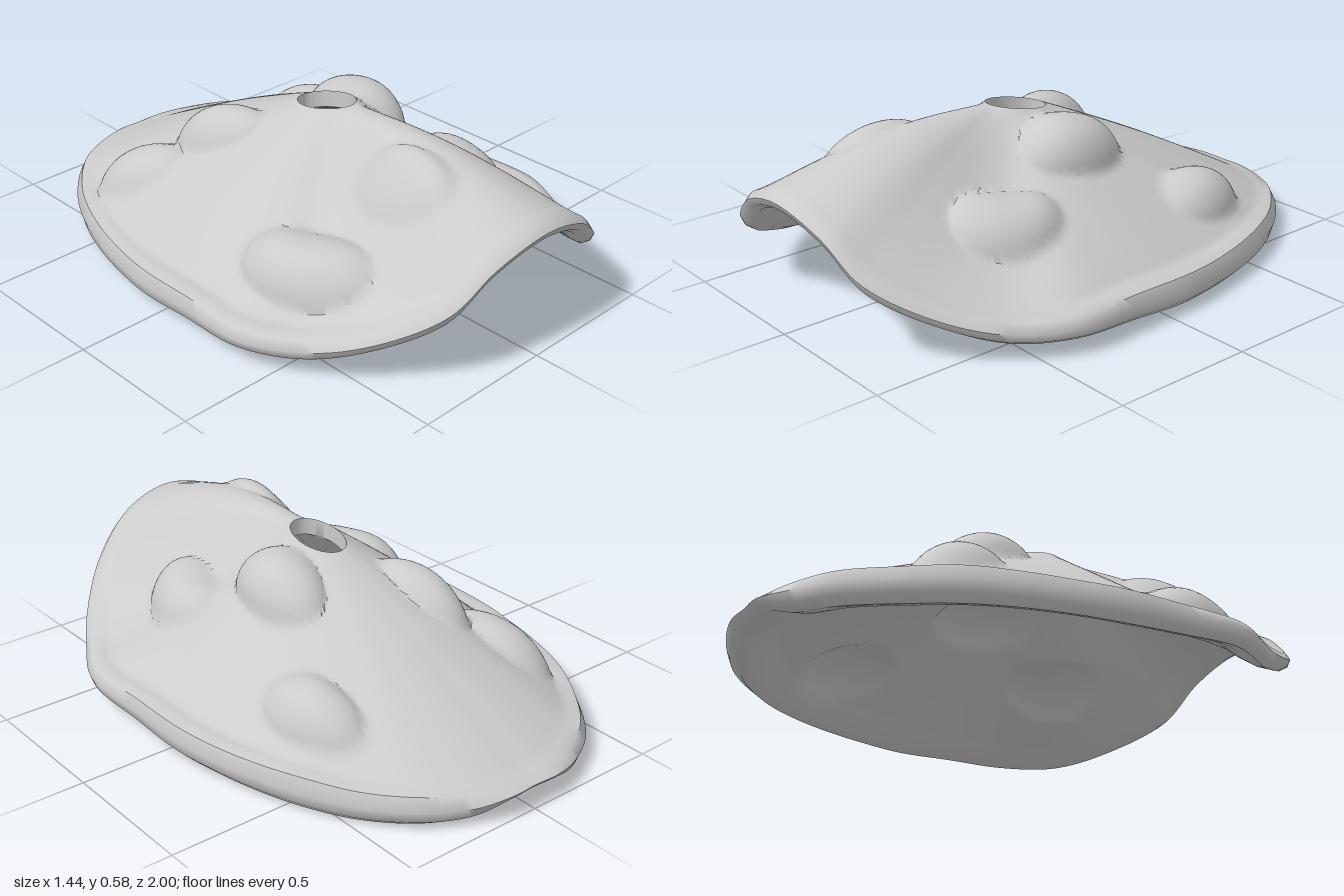
import * as THREE from 'three';
import { toCreasedNormals } from 'three/addons/utils/BufferGeometryUtils.js';

const material = new THREE.MeshStandardMaterial({ color: 0xcccccc, side: THREE.DoubleSide });

// Half of the rim, back to front: x, z, height of top edge, height of underside
const RIM = [
  [0, -1, 0.11, 0.06], [0.1, -1, 0.11, 0.055], [0.22, -0.96, 0.115, 0.015], [0.355, -0.88, 0.12, 0.005],
  [0.48, -0.74, 0.12, 0], [0.575, -0.58, 0.13, 0.005], [0.64, -0.41, 0.13, 0.01],
  [0.685, -0.23, 0.13, 0.015], [0.71, -0.06, 0.135, 0.02], [0.715, 0.15, 0.14, 0.035],
  [0.715, 0.4, 0.14, 0.05], [0.62, 0.6, 0.145, 0.06], [0.5, 0.78, 0.2, 0.125],
  [0.35, 0.93, 0.305, 0.22], [0.2, 0.98, 0.42, 0.345], [0, 1, 0.47, 0.4],
];
const HOLE = { z: 0.06, rx: 0.08, rz: 0.115 };
const WALL = 0.06;
const STEPS = 40;

// Bumps: x, z, half width, half length, height, turn
const BUMPS = [
  [-0.39, -0.47, 0.11, 0.17, 0.07, 0.25],
  [-0.2, -0.26, 0.1, 0.18, 0.08, 0.15],
  [0.41, -0.42, 0.1, 0.19, 0.075, 0.25],
  [0.21, 0.0, 0.11, 0.2, 0.09, 0],
  [0.34, 0.38, 0.11, 0.19, 0.085, -0.25],
  [-0.14, 0.55, 0.1, 0.18, 0.05, 0.1],
  [-0.44, 0.42, 0.12, 0.23, 0.1, 0.3],
];

// Rounded swelling of the wall at a point seen from above
function swelling(x, z) {
  let height = 0;
  for (const [bx, bz, width, length, h, turn] of BUMPS) {
    const dx = x - bx, dz = z - bz, c = Math.cos(turn), s = Math.sin(turn);
    const r2 = ((dx * c - dz * s) / width) ** 2 + ((dx * s + dz * c) / length) ** 2;
    if (r2 < 1) height = Math.max(height, h * (1 - r2) ** 0.85);
  }
  return height;
}

// Rim samples for the whole loop: the half rim as a smooth curve, then mirrored
function rimLoop(perSpan) {
  const half = [];
  const last = RIM.length - 1;
  const mirror = ([x, ...rest]) => [-x, ...rest];
  for (let i = 0; i < last; i++) {
    const before = i ? RIM[i - 1] : mirror(RIM[1]);
    const after = i + 2 <= last ? RIM[i + 2] : mirror(RIM[last - 1]);
    for (let k = 0; k < perSpan; k++) {
      const f = k / perSpan;
      half.push(RIM[i].map((v, c) => {
        const b = before[c], w = RIM[i + 1][c], a = after[c];
        return v + 0.5 * f * (w - b + f * (2 * b - 5 * v + 4 * w - a + f * (3 * (v - w) + a - b)));
      }));
    }
  }
  half.push(RIM[last]);
  return [...half, ...half.slice(1, -1).reverse().map(mirror)];
}

// Closed radial section of the wall: over the top, round the rim, back underneath
function section([x, z, yTop, yBottom]) {
  const angle = Math.atan2(x, z - HOLE.z);
  const side = Math.sin(angle) ** 2;
  const front = Math.max(0, Math.cos(angle));
  const hx = HOLE.rx * Math.sin(angle), hz = HOLE.z + HOLE.rz * Math.cos(angle);
  const reach = Math.hypot(x - hx, z - hz);
  const yHole = 0.555 + 0.02 * Math.cos(angle);
  // Full along the front ridge, hollowed on the front diagonals, flat flange at the sides
  const belly = 0.012 + 0.033 * front ** 8 - (front > 0 ? 0.045 * Math.sin(2 * angle) ** 2 : 0);
  const flange = 0.93 - 0.07 * side;
  const at = (t, y) => new THREE.Vector3(hx + (x - hx) * t, y, hz + (z - hz) * t);
  const top = (t) => {
    const u = Math.min(1, t / flange);
    return yHole + (yTop - yHole) * u + belly * Math.sin(Math.PI * u);
  };
  // Wall point pushed out along the slope's normal where a bump lies
  const wall = (t, depth, swell) => {
    const p = at(t, top(t));
    const slope = (top(t + 0.01) - top(t - 0.01)) / (0.02 * reach);
    const normal = new THREE.Vector3(-slope * (x - hx) / reach, 1, -slope * (z - hz) / reach).normalize();
    p.addScaledVector(normal, swell * swelling(p.x, p.z));
    p.y -= depth;
    return p;
  };
  const steps = Array.from({ length: STEPS + 1 }, (_, i) => 0.93 * i / STEPS);
  return [
    ...steps.map((t) => wall(t, 0, 1)),
    at(0.975, yTop - 0.008),
    at(1, yTop * 0.55 + yBottom * 0.45),
    at(0.985, yTop * 0.2 + yBottom * 0.8),
    at(0.95, yBottom),
    at(0.9, yBottom + 0.012),
    ...steps.filter((t) => t < 0.85).reverse().map((t) => wall(t, WALL, 0.5)),
  ];
}

function shellGeometry() {
  const sections = rimLoop(7).map(section);
  const n = sections.length, m = sections[0].length;
  const index = [];
  for (let i = 0; i < n; i++) {
    for (let j = 0; j < m; j++) {
      const a = i * m + j, b = i * m + (j + 1) % m;
      const c = ((i + 1) % n) * m + j, d = ((i + 1) % n) * m + (j + 1) % m;
      index.push(a, c, b, b, c, d);
    }
  }
  const geometry = new THREE.BufferGeometry().setFromPoints(sections.flat());
  geometry.setIndex(index);
  return toCreasedNormals(geometry, 0.9);
}

export function createModel() {
  const model = new THREE.Group();
  model.name = 'domedShell';
  const shell = new THREE.Mesh(shellGeometry(), material);
  shell.name = 'bumpyShell';
  model.add(shell);
  return model;
}
